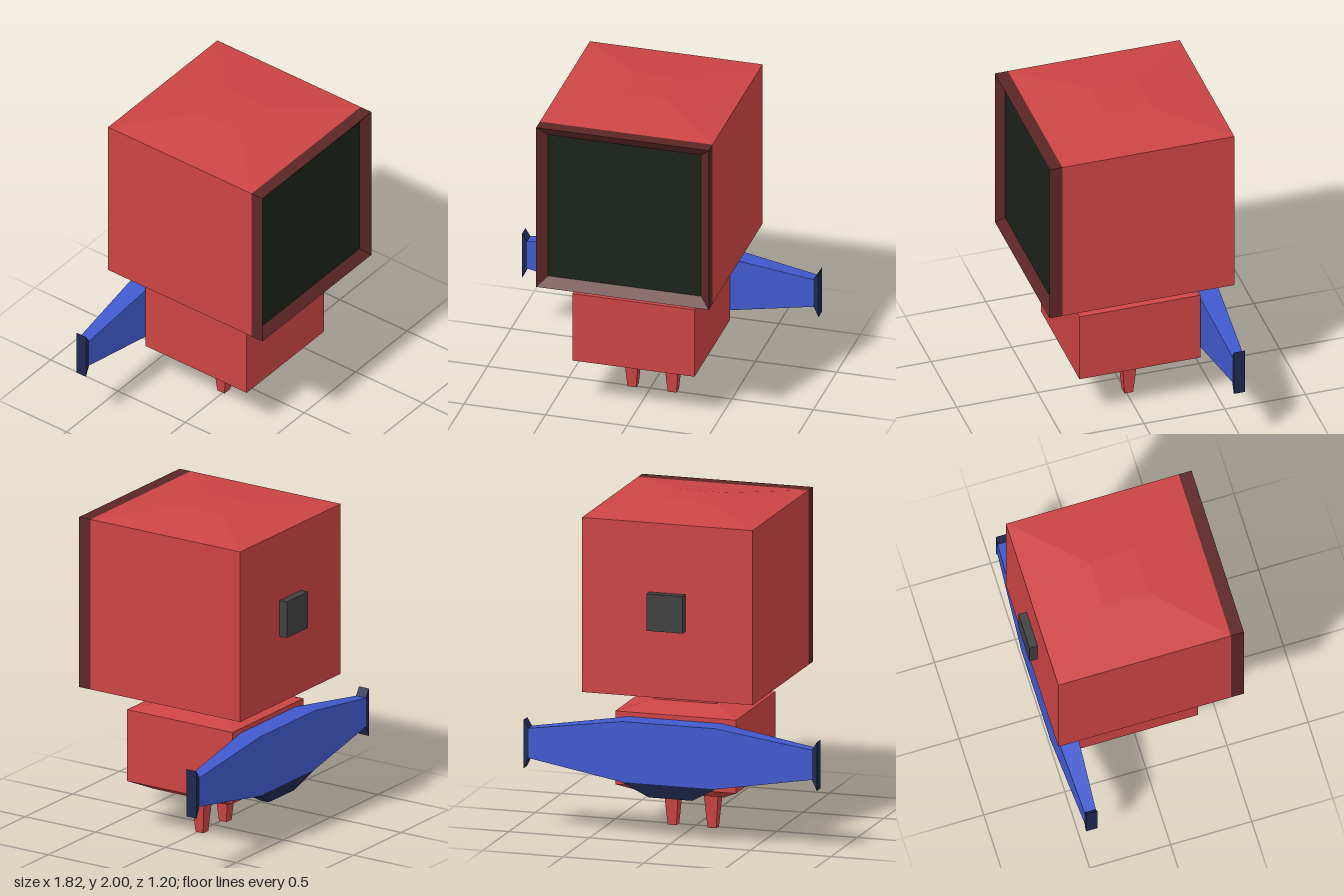
import * as THREE from 'three';

const paint = (color) => new THREE.MeshStandardMaterial({ color, flatShading: true });

// Lofts rectangles along an axis. Section: [position, u0, u1, v0, v1],
// with (u, v) = (y, z) along x, (z, x) along y and (x, y) along z.
function loft(axis, sections, capStart = true, capEnd = true) {
  const a = 'xyz'.indexOf(axis);
  const point = (w, u, v) => {
    const p = [0, 0, 0];
    p[a] = w;
    p[(a + 1) % 3] = u;
    p[(a + 2) % 3] = v;
    return p;
  };
  const rings = sections.map(([w, u0, u1, v0, v1]) =>
    [point(w, u0, v0), point(w, u1, v0), point(w, u1, v1), point(w, u0, v1)]);
  const pos = [];
  const quad = (p, q, r, s) => pos.push(...p, ...q, ...r, ...p, ...r, ...s);
  for (let k = 0; k + 1 < rings.length; k++) {
    for (let i = 0; i < 4; i++) {
      const j = (i + 1) % 4;
      quad(rings[k][i], rings[k][j], rings[k + 1][j], rings[k + 1][i]);
    }
  }
  if (capStart) quad(...[...rings[0]].reverse());
  if (capEnd) quad(...rings[rings.length - 1]);
  const geo = new THREE.BufferGeometry();
  geo.setAttribute('position', new THREE.Float32BufferAttribute(pos, 3));
  geo.computeVertexNormals();
  return geo;
}

export function createModel() {
  const model = new THREE.Group();
  const red = paint(0xcc4444);
  const darkRed = paint(0x5c2626);
  const blue = paint(0x4059cc);
  const navy = paint(0x1f2850);
  const add = (name, geo, mat) => {
    const mesh = new THREE.Mesh(geo, mat);
    mesh.name = name;
    model.add(mesh);
    return mesh;
  };

  // Head: cube with shallow pyramids above and below
  add('head', loft('y', [
    [0.86, -0.21, 0.18, -0.195, 0.195],
    [0.895, -0.55, 0.515, -0.53, 0.53],
    [1.955, -0.55, 0.515, -0.53, 0.53],
    [2.0, -0.157, 0.123, -0.14, 0.14],
  ]), red);

  // Screen frame bevelled inwards to a recessed screen
  add('screenFrame', loft('z', [
    [0.515, -0.53, 0.53, 0.895, 1.955],
    [0.595, -0.53, 0.53, 0.895, 1.955],
    [0.55, -0.47, 0.47, 0.955, 1.895],
  ], true, false), darkRed);
  const screen = add('screen', new THREE.PlaneGeometry(0.94, 0.94), paint(0x1b221b));
  screen.position.set(0, 1.425, 0.55);

  // Block on the back of the head
  const block = add('backBlock', new THREE.BoxGeometry(0.225, 0.225, 0.06), paint(0x404040));
  block.position.set(0, 1.422, -0.57);

  // Body with bevelled shoulders, hips and a neck
  add('body', loft('y', [
    [0.25, -0.27, 0.245, -0.26, 0.26],
    [0.31, -0.39, 0.36, -0.375, 0.375],
    [0.755, -0.39, 0.36, -0.375, 0.375],
    [0.8, -0.21, 0.18, -0.195, 0.195],
    [0.86, -0.21, 0.18, -0.195, 0.195],
  ]), red);

  // Tapered legs
  for (const [name, x] of [['rightLeg', -0.11], ['leftLeg', 0.137]]) {
    add(name, loft('y', [
      [0, -0.04, 0.014, x - 0.027, x + 0.027],
      [0.25, -0.061, 0.035, x - 0.048, x + 0.048],
    ]), red);
  }

  // Wing across the back
  add('wing', loft('x', [
    [-0.88, 0.455, 0.635, -0.495, -0.425],
    [-0.29, 0.36, 0.728, -0.526, -0.392],
    [0.29, 0.36, 0.728, -0.526, -0.392],
    [0.88, 0.455, 0.635, -0.495, -0.425],
  ]), blue);

  // Keel under the wing
  add('keel', loft('y', [
    [0.27, -0.487, -0.431, -0.135, 0.135],
    [0.36, -0.526, -0.392, -0.29, 0.29],
  ]), navy);

  // Flared wing tips
  const inner = [0.455, 0.635, -0.495, -0.425];
  const outer = [0.39, 0.685, -0.495, -0.425];
  add('leftWingTip', loft('x', [[0.88, ...inner], [0.91, ...outer]]), navy);
  add('rightWingTip', loft('x', [[-0.91, ...outer], [-0.88, ...inner]]), navy);

  return model;
}
